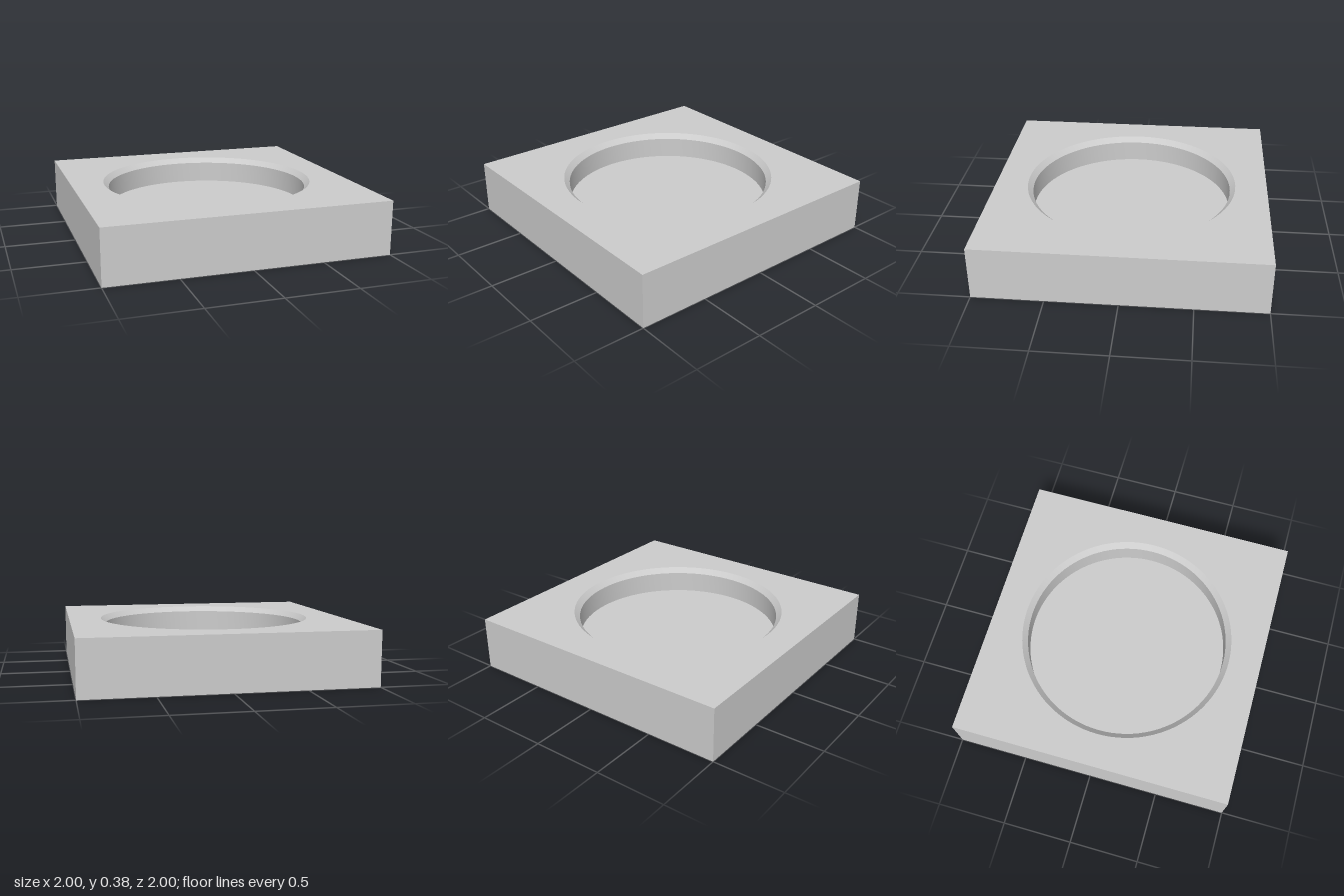
import * as THREE from 'three';
import { toCreasedNormals } from 'three/addons/utils/BufferGeometryUtils.js';

const HALF = 1, HEIGHT = 0.385, FLOOR = 0.192;
const RIM = 0.769, BORE = 0.731, SEGMENTS = 96;

export function createModel() {
  const model = new THREE.Group();
  model.name = 'recessedBlock';
  const material = new THREE.MeshStandardMaterial({ color: 0xcccccc });
  const add = (name, geometry) => {
    const mesh = new THREE.Mesh(geometry, material);
    mesh.name = name;
    model.add(mesh);
  };

  // Four sides and underside: a box with its top face (indices 12-17) left out
  const body = new THREE.BoxGeometry(2 * HALF, HEIGHT, 2 * HALF);
  const index = Array.from(body.index.array);
  index.splice(12, 6);
  body.setIndex(index);
  body.clearGroups();
  body.translate(0, HEIGHT / 2, 0);
  add('blockSides', body);

  // Square top face with the round opening
  const square = new THREE.Shape([
    new THREE.Vector2(-HALF, -HALF), new THREE.Vector2(HALF, -HALF),
    new THREE.Vector2(HALF, HALF), new THREE.Vector2(-HALF, HALF),
  ]);
  square.holes.push(new THREE.Path().absarc(0, 0, RIM, 0, Math.PI * 2, true));
  const top = new THREE.ShapeGeometry(square, SEGMENTS / 2);
  top.rotateX(-Math.PI / 2).translate(0, HEIGHT, 0);
  add('topFace', top);

  // Chamfered rim and straight wall of the recess, facing inward
  const profile = [
    new THREE.Vector2(RIM, HEIGHT),
    new THREE.Vector2(BORE, HEIGHT - (RIM - BORE)),
    new THREE.Vector2(BORE, FLOOR),
  ];
  add('recessWall', toCreasedNormals(new THREE.LatheGeometry(profile, SEGMENTS), Math.PI / 6));

  // Flat floor of the recess
  const floor = new THREE.CircleGeometry(BORE, SEGMENTS);
  floor.rotateX(-Math.PI / 2).translate(0, FLOOR, 0);
  add('recessFloor', floor);

  return model;
}
